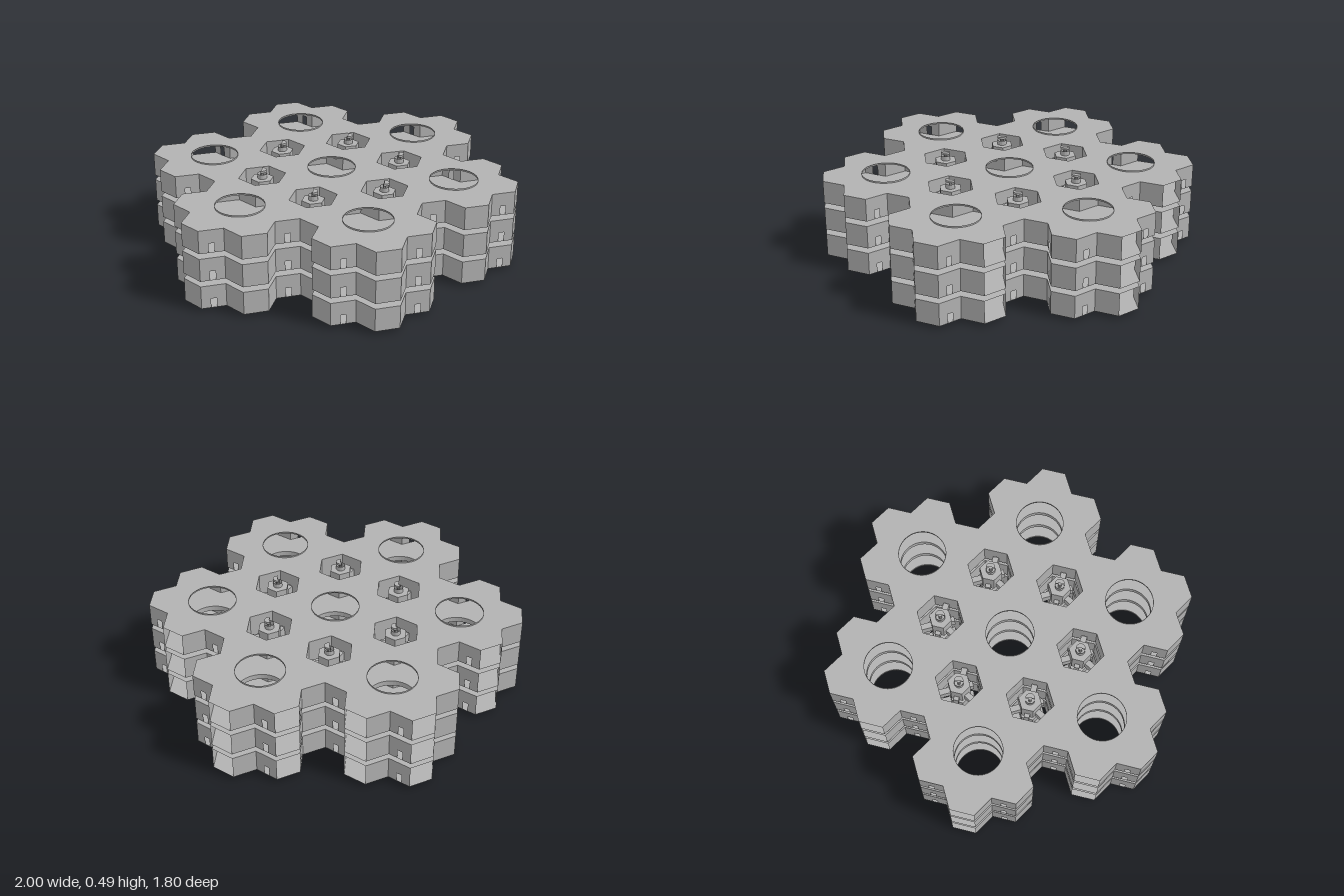
import * as THREE from 'three';

const A = 2 / 9;                  // width of one hexagonal room
const R = A / Math.sqrt(3);       // room corner radius
const H = 0.126;                  // storey height
const FLOORS = [0.018, 0.173, 0.328];
const rad = (d) => d * Math.PI / 180;
const polar = (r, deg) => new THREE.Vector2(r * Math.cos(rad(deg)), r * Math.sin(rad(deg)));

const concrete = new THREE.MeshStandardMaterial({ color: 0xb2b2b2, side: THREE.DoubleSide, flatShading: true });
concrete.name = 'concrete grey';

function add(parent, geometry, name, x = 0, y = 0, z = 0, rotY = 0) {
  const mesh = new THREE.Mesh(geometry, concrete);
  mesh.name = name;
  mesh.position.set(x, y, z);
  mesh.rotation.y = rotY;
  parent.add(mesh);
  return mesh;
}

// Slab: six rooms around a round shaft
function slabGeometry(up) {
  const points = [];
  for (let k = 0; k < 360; k += 60) {
    for (const b of [-90, -30, 30]) points.push(polar(A, k).add(polar(R, k + b)));
  }
  const shape = new THREE.Shape(points);
  shape.holes.push(new THREE.Path().absarc(0, 0, R, 0, Math.PI * 2, true));
  return new THREE.ShapeGeometry(shape, 24).rotateX(up ? -Math.PI / 2 : Math.PI / 2);
}

// Wall panel, with a doorway cut at its foot if wanted
function wallGeometry(door) {
  const w = R / 2, d = 0.015, h = 0.052;
  const p = door
    ? [[-w, 0], [-d, 0], [-d, h], [d, h], [d, 0], [w, 0], [w, H], [-w, H]]
    : [[-w, 0], [w, 0], [w, H], [-w, H]];
  return new THREE.ShapeGeometry(new THREE.Shape(p.map(([x, y]) => new THREE.Vector2(x, y))));
}

const ring = (r, h, n = 48) => new THREE.CylinderGeometry(r, r, h, n, 1, true).translate(0, h / 2, 0);

export function createModel() {
  const model = new THREE.Group();
  model.name = 'hexagonalBuilding';
  const floorGeo = slabGeometry(false), roofGeo = slabGeometry(true);
  const plainWall = wallGeometry(false), doorWall = wallGeometry(true);

  // Seven clusters of rooms, three storeys each
  const centres = [new THREE.Vector2(0, 0)];
  for (let k = 0; k < 360; k += 60) centres.push(polar(3 * A, k));
  for (const c of centres) {
    const cluster = new THREE.Group();
    cluster.name = 'roomCluster';
    cluster.position.set(c.x, 0, c.y);
    model.add(cluster);
    for (const y of FLOORS) {
      add(cluster, floorGeo, 'floorSlab', 0, y, 0);
      add(cluster, roofGeo, 'roofSlab', 0, y + H, 0);
      for (let k = 0; k < 360; k += 60) {
        for (const side of [-60, 0, 60]) {
          // Outer faces towards the back are open, the neighbour owns that wall
          if (side === 0 && k >= 180) continue;
          const hasDoor = side !== 0 && k % 120 === 0;
          const p = polar(A, k).add(polar(A / 2, k + side));
          add(cluster, hasDoor ? doorWall : plainWall, hasDoor ? 'doorWall' : 'wall',
            p.x, y, p.y, Math.PI / 2 - rad(k + side));
        }
      }
    }
    // Shaft rims below, between and above the storeys
    const gap = FLOORS[1] - FLOORS[0] - H;
    add(cluster, ring(R, 0.012), 'bottomRim', 0, 0.006, 0);
    for (const y of FLOORS.slice(0, 2)) add(cluster, ring(R, gap), 'shaftRing', 0, y + H, 0);
    add(cluster, ring(R, 0.009), 'topRim', 0, FLOORS[2] + H, 0);
  }

  // Six stair towers in the hexagonal courts
  const hubGeo = new THREE.CylinderGeometry(0.062, 0.062, H - 0.012, 6).translate(0, (H - 0.012) / 2, 0);
  const bridgeGeo = new THREE.BoxGeometry(A / 2 - 0.05, 0.05, 0.032).translate((A / 2 + 0.05) / 2, 0.025, 0);
  const stubGeo = new THREE.BoxGeometry(0.03, 0.05, 0.028).translate(0.06, 0.025, 0);
  const capGeo = new THREE.CylinderGeometry(0.025, 0.025, 0.012, 16, 1, false, 0, Math.PI * 1.1);
  for (let k = 30; k < 360; k += 60) {
    const p = polar(A * Math.sqrt(3), k);
    const tower = new THREE.Group();
    tower.name = 'stairTower';
    tower.position.set(p.x, 0, p.y);
    model.add(tower);
    add(tower, ring(0.025, 0.468, 16), 'stairColumn');
    add(tower, new THREE.CylinderGeometry(0.009, 0.009, 0.48, 8), 'stairPole', 0, 0.24, 0);
    add(tower, capGeo, 'topStep', 0, 0.484, 0);
    for (const y of FLOORS) {
      add(tower, hubGeo, 'landingHub', 0, y, 0);
      for (let a = 0; a < 360; a += 120) {
        add(tower, bridgeGeo, 'bridge', 0, y, 0, -rad(a));
        add(tower, stubGeo, 'hubStub', 0, y, 0, -rad(a + 60));
      }
    }
  }
  return model;
}
